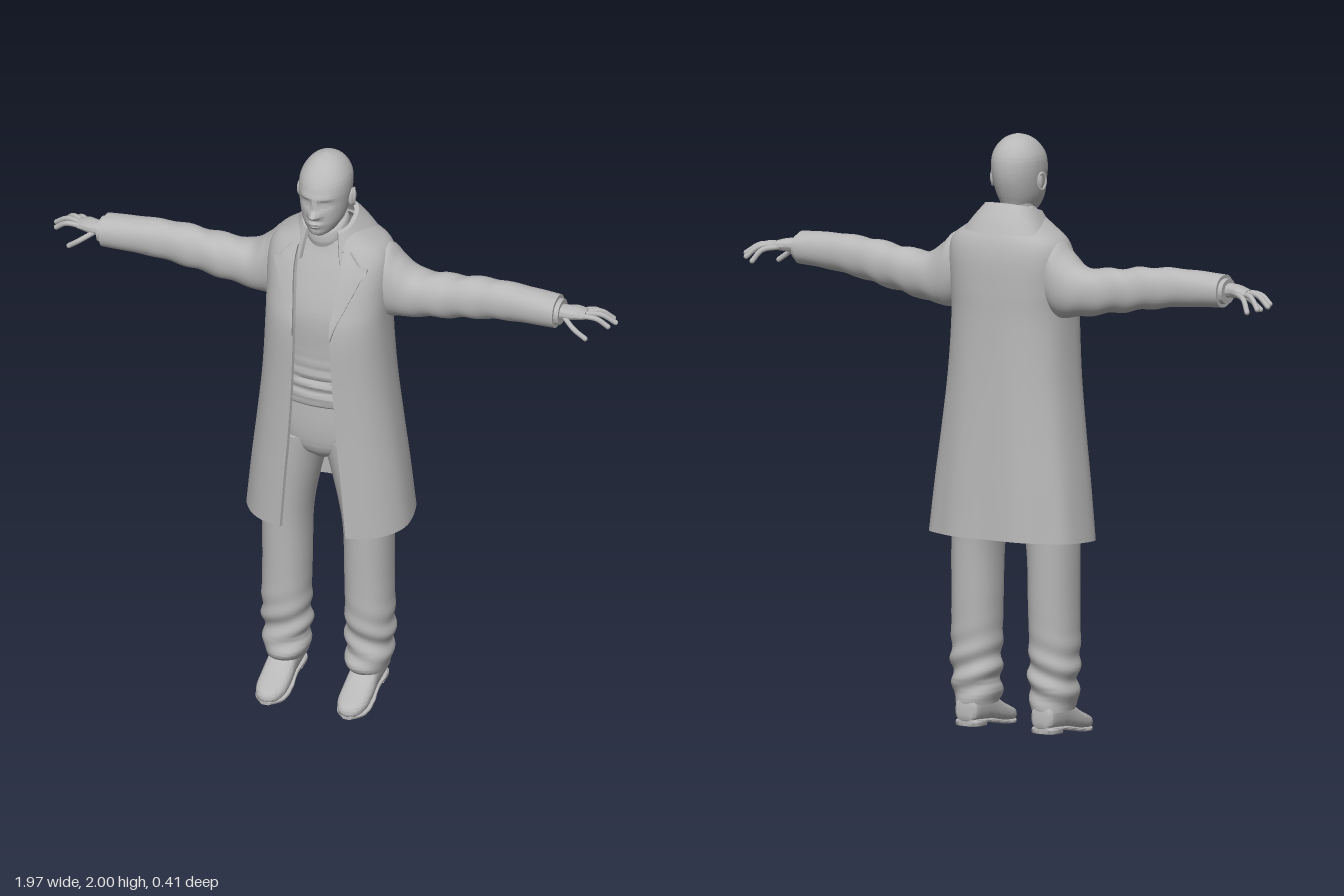
import * as THREE from 'three';
import { toCreasedNormals } from 'three/addons/utils/BufferGeometryUtils.js';

const grey = new THREE.MeshStandardMaterial({ color: 0xb8b8b8, side: THREE.DoubleSide });
grey.name = 'plain grey';

function add(group, name, geo) {
  const mesh = new THREE.Mesh(geo, grey);
  mesh.name = name;
  group.add(mesh);
  return mesh;
}

// Catmull-Rom interpolation of table rows into n + 1 rows
function smooth(rows, n) {
  const last = rows.length - 1;
  return Array.from({ length: n + 1 }, (_, k) => {
    const f = (k / n) * last, i = Math.min(Math.floor(f), last - 1), t = f - i;
    const [a, b, c, d] = [rows[Math.max(i - 1, 0)], rows[i], rows[i + 1], rows[Math.min(i + 2, last)]];
    return b.map((v, j) => v + 0.5 * t * (c[j] - a[j] + t * (2 * a[j] - 5 * v + 4 * c[j] - d[j] + t * (3 * (v - c[j]) + d[j] - a[j]))));
  });
}

// Skin over equal-sized loops of points; ends are 'fan', 'rim' (shell edge) or open
function skin(rings, { closed = true, ends = 'fan', crease = 1 } = {}) {
  const m = rings[0].length, pos = rings.flat().flatMap(p => [p.x, p.y, p.z]), idx = [];
  for (let i = 0; i < rings.length - 1; i++)
    for (let j = 0; j < (closed ? m : m - 1); j++) {
      const k = (j + 1) % m, a = i * m, b = a + m;
      idx.push(a + j, a + k, b + k, a + j, b + k, b + j);
    }
  [0, rings.length - 1].forEach((r, top) => {
    const o = r * m;
    const tri = (a, b, c) => (top ? idx.push(a, b, c) : idx.push(a, c, b));
    if (ends === 'fan') {
      const c = rings[r].reduce((s, p) => s.add(p), new THREE.Vector3()).divideScalar(m);
      const ci = pos.push(c.x, c.y, c.z) / 3 - 1;
      for (let j = 0; j < m; j++) tri(o + j, o + (j + 1) % m, ci);
    } else if (ends === 'rim') {
      for (let j = 0; j < m / 2 - 1; j++) {
        const p = o + m - 1 - j;
        tri(o + j, o + j + 1, p - 1);
        tri(o + j, p - 1, p);
      }
    }
  });
  const geo = new THREE.BufferGeometry();
  geo.setAttribute('position', new THREE.Float32BufferAttribute(pos, 3));
  geo.setIndex(idx);
  return toCreasedNormals(geo, crease);
}

const pw = (v, e) => Math.sign(v) * Math.abs(v) ** (2 / e);
// Rows [station, a0, a1, b0, b1]: rounded section inside the box a x b, along one axis
const axes = {
  y: (a, s, b) => new THREE.Vector3(a, s, b),
  x: (a, s, b) => new THREE.Vector3(s, b, a),
  z: (a, s, b) => new THREE.Vector3(b, a, s),
};
function loft(rows, { axis = 'y', n = 24, seg = 32, e = 2.2, rule } = {}) {
  return skin(smooth(rows, n).map(([s, a0, a1, b0, b1]) => Array.from({ length: seg }, (_, j) => {
    const t = (j / seg) * Math.PI * 2;
    const p = axes[axis]((a0 + a1) / 2 + (a1 - a0) / 2 * pw(Math.sin(t), e), s, (b0 + b1) / 2 + (b1 - b0) / 2 * pw(Math.cos(t), e));
    if (rule) rule(p, t);
    return p;
  })));
}

// Open-fronted shell from rows [y, halfWidth, zFront, zBack, opening]
const E = 2.5;
function shell(rows, thick, rule, seg = 56) {
  return skin(rows.map(([y, w, zf, zb, open]) => {
    const a0 = Math.asin((open / w) ** (E / 2));
    const at = (j, inset) => {
      const t = a0 + (j / seg) * (Math.PI * 2 - 2 * a0), zc = (zf + zb) / 2, d = (zf - zb) / 2;
      const p = new THREE.Vector3((w - inset) * pw(Math.sin(t), E), y, zc + (d - inset) * pw(Math.cos(t), E));
      rule(p, t);
      return p;
    };
    const ring = [];
    for (let j = 0; j <= seg; j++) ring.push(at(j, 0));
    for (let j = seg; j >= 0; j--) ring.push(at(j, thick));
    return ring;
  }), { ends: 'rim', crease: 0.9 });
}

const gauss = (u, s) => Math.exp(-(u * u) / (2 * s * s));

function makeHead() {
  const head = new THREE.Group();
  head.name = 'head';
  const rows = [[1.735, 0.03, 0.1, -0.03], [1.75, 0.046, 0.117, -0.05], [1.78, 0.064, 0.125, -0.062], [1.81, 0.074, 0.127, -0.075],
    [1.85, 0.081, 0.128, -0.088], [1.89, 0.085, 0.127, -0.093], [1.93, 0.082, 0.114, -0.088], [1.965, 0.064, 0.086, -0.068],
    [1.988, 0.038, 0.052, -0.038], [2.0, 0.003, 0.01, 0.002]].map(([y, w, f, b]) => [y, -w, w, b, f]);
  // Facial relief: x, y, spread x, spread y, depth
  const relief = [[0, 1.85, 0.008, 0.018, 0.011], [0, 1.824, 0.012, 0.009, 0.026], [0.014, 1.82, 0.006, 0.006, 0.007],
    [0.032, 1.861, 0.015, 0.01, -0.011], [0.032, 1.86, 0.009, 0.005, 0.006], [0.032, 1.884, 0.02, 0.007, 0.005],
    [0, 1.791, 0.017, 0.004, 0.011], [0, 1.779, 0.015, 0.004, 0.01], [0, 1.752, 0.02, 0.01, 0.005]];
  add(head, 'skull and face', loft(rows, { n: 72, seg: 96, e: 2.1, rule: p => {
    if (p.z < 0.03) return;
    const { x, y } = p;
    for (const [rx, ry, sx, sy, d] of relief) p.z += d * gauss(Math.abs(x) - rx, sx) * gauss(y - ry, sy);
  } }));
  for (const s of [-1, 1]) {
    const ear = add(head, 'ear', new THREE.SphereGeometry(1, 16, 12));
    ear.scale.set(0.009, 0.031, 0.019);
    ear.position.set(s * 0.086, 1.847, 0.004);
    ear.rotation.set(-0.15, s * -0.35, 0);
    const rim = add(head, 'ear rim', new THREE.TorusGeometry(0.02, 0.0045, 6, 20));
    rim.scale.set(0.85, 1.35, 1);
    rim.position.set(s * 0.092, 1.849, 0.002);
    rim.rotation.y = s * (Math.PI / 2 + 0.35);
  }
  head.position.x = -0.01;
  return head;
}

function makeArm() {
  const arm = new THREE.Group();
  arm.name = 'arm';
  add(arm, 'sleeve', loft([[0.13, -0.11, 0.03, 1.47, 1.665], [0.19, -0.125, 0.045, 1.42, 1.668], [0.23, -0.125, 0.04, 1.415, 1.63],
    [0.29, -0.118, 0.032, 1.425, 1.588], [0.4, -0.1, 0.03, 1.445, 1.592], [0.5, -0.09, 0.03, 1.463, 1.604],
    [0.6, -0.08, 0.035, 1.48, 1.61], [0.7, -0.072, 0.044, 1.49, 1.608], [0.79, -0.067, 0.05, 1.495, 1.603]],
  { axis: 'x', n: 48, rule: (p, t) => { p.y += 0.004 * Math.sin(p.x * 55 + 3 * Math.sin(t)) * gauss(p.x - 0.42, 0.14); } }));
  add(arm, 'cuff', loft([[0.775, -0.058, 0.04, 1.505, 1.592], [0.805, -0.055, 0.037, 1.508, 1.59]], { axis: 'x', n: 2 }));
  add(arm, 'palm', loft([[0.78, -0.035, 0.022, 1.527, 1.575], [0.82, -0.037, 0.026, 1.53, 1.576], [0.855, -0.052, 0.02, 1.533, 1.572],
    [0.885, -0.048, 0.01, 1.537, 1.562]], { axis: 'x', n: 12, seg: 24 }));
  // Fingers from pinky to index, then thumb: base, knuckle, tip
  const fingers = [[[0.86, 1.548, -0.044], [0.9, 1.54, -0.078], [0.925, 1.505, -0.1]],
    [[0.87, 1.55, -0.03], [0.92, 1.547, -0.062], [0.955, 1.515, -0.085]],
    [[0.87, 1.552, -0.015], [0.93, 1.55, -0.034], [0.975, 1.52, -0.05]],
    [[0.87, 1.552, 0.003], [0.925, 1.548, -0.004], [0.962, 1.522, -0.012]],
    [[0.82, 1.545, 0.016], [0.862, 1.518, 0.038], [0.9, 1.49, 0.036]]];
  for (const pts of fingers) {
    const curve = new THREE.CatmullRomCurve3(pts.map(p => new THREE.Vector3(...p)));
    add(arm, 'finger', new THREE.TubeGeometry(curve, 10, 0.0088, 10));
    add(arm, 'fingertip', new THREE.SphereGeometry(0.0088, 10, 8)).position.set(...pts[2]);
  }
  return arm;
}

function makeLeg() {
  const leg = new THREE.Group();
  leg.name = 'leg';
  add(leg, 'trouser leg', loft([[0.1, 0.075, 0.207, -0.098, 0.07], [0.13, 0.07, 0.215, -0.1, 0.084], [0.2, 0.066, 0.222, -0.1, 0.068],
    [0.3, 0.066, 0.225, -0.102, 0.08], [0.45, 0.064, 0.222, -0.108, 0.085], [0.65, 0.058, 0.22, -0.115, 0.094],
    [0.85, 0.018, 0.21, -0.13, 0.108], [0.97, -0.02, 0.2, -0.14, 0.115]],
  { n: 64, seg: 40, rule: (p, t) => {
    const fold = 0.007 * Math.sin(p.y * 75 + 2.5 * Math.sin(t)) * gauss(p.y - 0.21, 0.07);
    p.z += fold * Math.cos(t);
    p.x += fold * Math.sin(t);
  } }));
  const shoe = new THREE.Group();
  shoe.name = 'shoe';
  add(shoe, 'upper', loft([[-0.102, 0.05, 0.09, -0.02, 0.02], [-0.09, 0.04, 0.125, -0.04, 0.04], [-0.03, 0.032, 0.145, -0.046, 0.046],
    [0.03, 0.026, 0.13, -0.048, 0.048], [0.09, 0.016, 0.09, -0.052, 0.052], [0.15, 0.007, 0.062, -0.05, 0.05],
    [0.19, 0.006, 0.046, -0.034, 0.034], [0.204, 0.012, 0.03, -0.013, 0.013]], { axis: 'z', n: 32, e: 2.6 }));
  // Sole slopes down to the toe
  add(shoe, 'sole', loft([[-0.1, 0.04, 0.054, -0.025, 0.025], [-0.06, 0.036, 0.05, -0.045, 0.045], [0.02, 0.026, 0.04, -0.046, 0.046],
    [0.09, 0.01, 0.024, -0.055, 0.055], [0.16, 0.001, 0.015, -0.05, 0.05], [0.204, 0.002, 0.015, -0.015, 0.015]], { axis: 'z', e: 5 }));
  add(shoe, 'heel', loft([[-0.1, 0.03, 0.05, -0.025, 0.025], [-0.085, 0.026, 0.05, -0.042, 0.042], [-0.03, 0.022, 0.045, -0.045, 0.045]],
    { axis: 'z', n: 8, e: 5 }));
  shoe.position.x = 0.142;
  leg.add(shoe);
  return leg;
}

function makeCoat() {
  const coat = new THREE.Group();
  coat.name = 'long coat';
  const rows = smooth([[0.665, 0.28, 0.17, -0.205, 0.115], [0.85, 0.26, 0.171, -0.196, 0.1], [1.0, 0.241, 0.172, -0.189, 0.086],
    [1.2, 0.218, 0.175, -0.181, 0.072], [1.4, 0.206, 0.178, -0.176, 0.064], [1.5, 0.208, 0.155, -0.176, 0.07], [1.6, 0.211, 0.122, -0.172, 0.08],
    [1.66, 0.195, 0.095, -0.16, 0.08], [1.7, 0.145, 0.08, -0.14, 0.072], [1.73, 0.1, 0.07, -0.11, 0.06]], 45);
  add(coat, 'coat body', shell(rows, 0.012, (p, t) => {
    const low = Math.max(0, 1.4 - p.y);
    const k = 1 + 0.022 * low * Math.cos(9 * t) * Math.sin(t / 2) ** 2;
    p.x *= k;
    p.z *= k;
    p.y -= p.z * 0.1 * low;
  }));
  // Turned-down collar, lower at the front
  add(coat, 'collar', shell(smooth([[1.69, 0.152, 0.105, -0.158, 0.07], [1.735, 0.122, 0.095, -0.135, 0.064],
    [1.785, 0.088, 0.08, -0.1, 0.055]], 8), 0.014, p => { p.y -= Math.max(0, p.z + 0.1) * 0.3; }));
  // Lapels lie on the coat front: rows [y, outer x]
  const onCoat = (x, y, lift) => {
    const i = Math.max(1, rows.findIndex(r => r[0] >= y)), t = (y - rows[i - 1][0]) / (rows[i][0] - rows[i - 1][0]);
    const [, w, f, b, open] = rows[i].map((v, j) => THREE.MathUtils.lerp(rows[i - 1][j], v, t));
    const px = open + x * (1 - open / 0.2);
    return new THREE.Vector3(px, y, (f + b) / 2 + (f - b) / 2 * (1 - Math.min(1, px / w) ** E) ** (1 / E) + lift);
  };
  const strip = smooth([[1.39, 0.004], [1.45, 0.03], [1.53, 0.075], [1.59, 0.108], [1.625, 0.135], [1.64, 0.09], [1.68, 0.04]], 24)
    .map(([y, wide]) => [[0, 0], [0, 0.012], [0.5, 0.013], [1, 0.012], [1, -0.004]].map(([u, lift]) => onCoat(u * wide, y, lift)));
  const lapel = skin(strip, { closed: false, ends: 'open', crease: 0.7 });
  add(coat, 'left lapel', lapel);
  add(coat, 'right lapel', lapel).scale.x = -1;
  coat.position.x = -0.004;
  return coat;
}

export function createModel() {
  const man = new THREE.Group();
  man.name = 'man in long coat';
  man.add(makeHead(), makeCoat());

  for (const s of [1, -1]) {
    const arm = makeArm(), leg = makeLeg();
    arm.scale.x = leg.scale.x = s;
    leg.position.x = -0.012;
    man.add(arm, leg);
  }

  // Trouser seat, sweater and roll neck
  const sym = rows => rows.map(([y, w, b, f]) => [y, -w, w, b, f]);
  add(man, 'trouser seat', loft(sym([[0.89, 0.04, -0.09, 0.07], [0.92, 0.12, -0.125, 0.1], [0.96, 0.175, -0.14, 0.114],
    [1.03, 0.188, -0.148, 0.12], [1.13, 0.175, -0.14, 0.118]]))).position.x = -0.008;
  add(man, 'sweater', loft(sym([[1.105, 0.178, -0.145, 0.124], [1.12, 0.182, -0.15, 0.132], [1.17, 0.18, -0.15, 0.132], [1.3, 0.18, -0.15, 0.136],
    [1.42, 0.182, -0.152, 0.142], [1.5, 0.182, -0.15, 0.13], [1.6, 0.17, -0.14, 0.1], [1.67, 0.12, -0.11, 0.076], [1.71, 0.066, -0.075, 0.068]]),
  { n: 90, seg: 48, rule: (p, t) => {
    if (Math.cos(t) > 0) p.z += 0.006 * Math.cos(t) * Math.sin(p.y * 150 + 6 * p.x) * gauss(p.y - 1.2, 0.045);
  } }));
  add(man, 'roll neck', loft(sym([[1.66, 0.075, -0.085, 0.07], [1.7, 0.067, -0.076, 0.074], [1.725, 0.069, -0.076, 0.08],
    [1.755, 0.066, -0.072, 0.076], [1.765, 0.058, -0.064, 0.066]]),
  { n: 16, rule: p => { p.y -= Math.max(0, p.z) * 0.3; } })).position.x = -0.008;
  add(man, 'neck', new THREE.CylinderGeometry(0.056, 0.056, 0.12, 24)).position.set(-0.01, 1.75, 0);
  return man;
}
